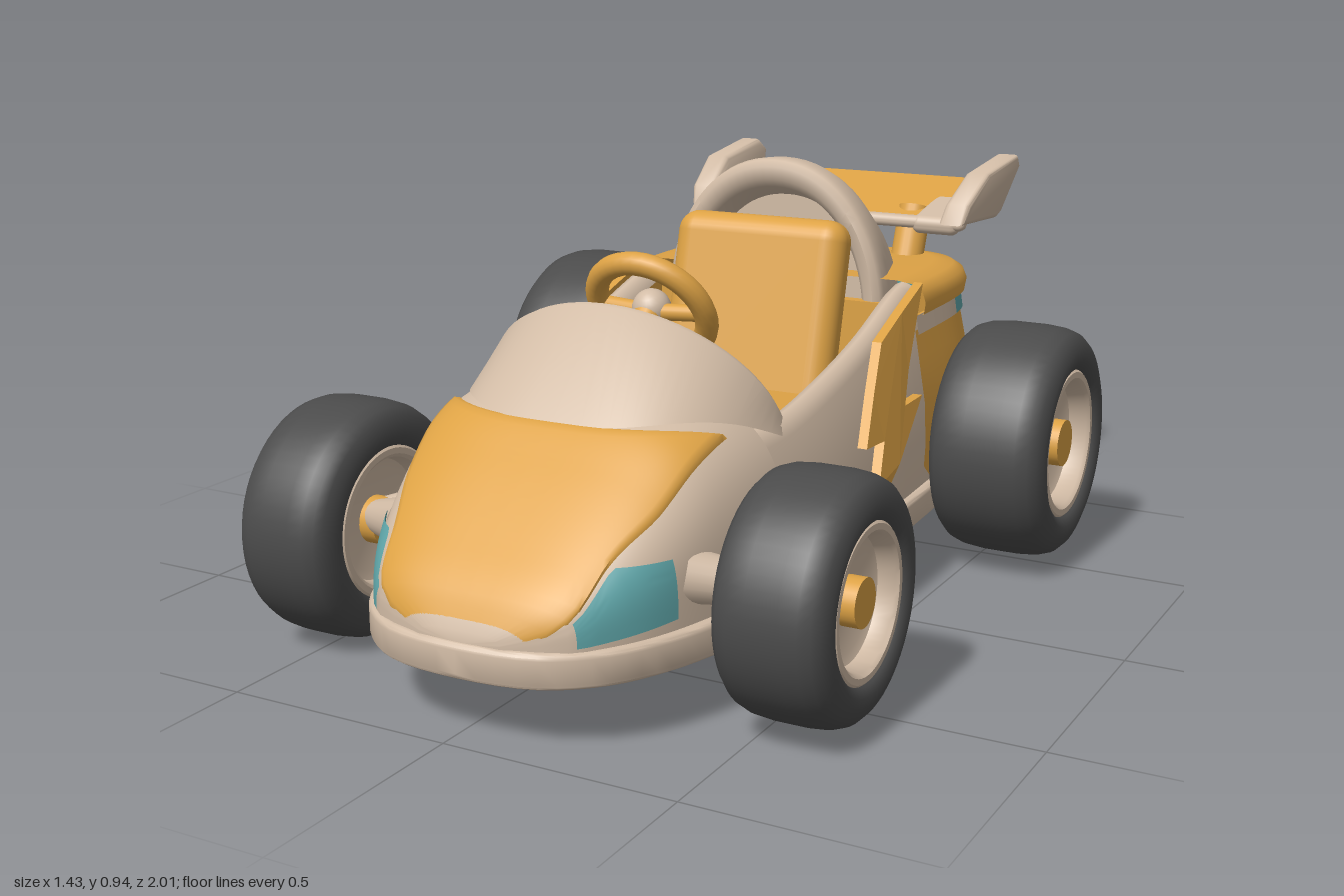
import * as THREE from 'three';
import { toCreasedNormals } from 'three/addons/utils/BufferGeometryUtils.js';
import { RoundedBoxGeometry } from 'three/addons/geometries/RoundedBoxGeometry.js';

const paint = (name, color) => new THREE.MeshStandardMaterial({ name, color, side: THREE.DoubleSide });
const yellow = paint('yellow', 0xdda245), beige = paint('beige', 0xd2bca6);
const teal = paint('teal', 0x5fa5a8), rubber = paint('rubber', 0x4b4b4b);

// Smooth interpolation in a table of [position, value] pairs
function at(t, v) {
  let i = 0;
  while (i < t.length - 2 && v > t[i + 1][0]) i++;
  const slope = k => {
    const a = t[Math.max(k - 1, 0)], b = t[Math.min(k + 1, t.length - 1)];
    return (b[1] - a[1]) / (b[0] - a[0]);
  };
  const h = t[i + 1][0] - t[i][0], s = THREE.MathUtils.clamp((v - t[i][0]) / h, 0, 1);
  const s2 = s * s, s3 = s2 * s;
  return t[i][1] * (2 * s3 - 3 * s2 + 1) + slope(i) * h * (s3 - 2 * s2 + s)
    + t[i + 1][1] * (3 * s2 - 2 * s3) + slope(i + 1) * h * (s3 - s2);
}

// Skin over rows of points
function loft(rows, crease = 0.7) {
  const n = rows[0].length, index = [];
  for (let r = 0; r < rows.length - 1; r++) for (let c = 0; c < n - 1; c++) {
    const a = r * n + c, b = a + n;
    index.push(a, b, a + 1, b, b + 1, a + 1);
  }
  const g = new THREE.BufferGeometry();
  g.setAttribute('position', new THREE.Float32BufferAttribute(rows.flat(2), 3));
  g.setIndex(index);
  return toCreasedNormals(g, crease);
}
const steps = (n, a, b, f) => Array.from({ length: n + 1 }, (_, i) => f(a + (b - a) * i / n));

function add(parent, name, geo, mat, pos = [0, 0, 0], rot = [0, 0, 0]) {
  const m = new THREE.Mesh(geo, mat);
  m.name = name;
  m.position.set(...pos);
  m.rotation.set(...rot);
  parent.add(m);
  return m;
}
function rod(parent, name, mat, a, b, ra, rb = ra) {
  const p = new THREE.Vector3(...a), d = new THREE.Vector3(...b).sub(p);
  const m = add(parent, name, new THREE.CylinderGeometry(rb, ra, d.length(), 20), mat);
  m.position.copy(p).addScaledVector(d, 0.5);
  m.quaternion.setFromUnitVectors(new THREE.Vector3(0, 1, 0), d.normalize());
}

// Body measures along z: half width, nose height, cockpit rim height, hood edge angle
const WIDTH = [[-0.4, 0.4], [-0.1, 0.41], [0.2, 0.41], [0.45, 0.395], [0.66, 0.355], [0.8, 0.31], [0.9, 0.25], [0.95, 0.195], [0.985, 0.09]];
const NOSE = [[0.3, 0.56], [0.48, 0.58], [0.62, 0.55], [0.73, 0.475], [0.87, 0.36], [0.95, 0.285], [0.985, 0.225]];
const RIM = [[-0.38, 0.665], [-0.3, 0.65], [-0.1, 0.59], [0.1, 0.545], [0.3, 0.51], [0.48, 0.5]];
const EDGE = [[0.48, 0.76], [0.73, 0.86], [0.85, 0.84], [0.93, 1.15], [0.985, 1.5]];
const pw = (v, e) => Math.sign(v) * Math.pow(Math.abs(v), e);
const nosePoint = (z, a, k = 1) => [at(WIDTH, z) * pw(Math.sin(a), 0.571) * k,
  0.2 + (at(NOSE, z) - 0.2) * Math.pow(Math.max(Math.cos(a), 0), 0.571) * k, z];
const wallX = (z, y) => at(WIDTH, z) - 0.055 * THREE.MathUtils.clamp((y - 0.32) / (at(RIM, z) - 0.32), 0, 1);

function addNose(body) {
  const half = Math.PI / 2;
  const skin = steps(26, 0.985, 0.42, z => steps(40, -half, half, a => nosePoint(z, a)));
  skin.unshift(skin[0].map(() => [0, 0.2, 0.99]));
  add(body, 'noseShell', loft(skin, 1), beige);
  add(body, 'dashboard', loft([skin.at(-1), skin.at(-1).map(() => [0, 0.25, 0.4])]), yellow);
  // Raised hood panel with its edge tucked into the shell
  add(body, 'hood', loft(steps(24, 0, 1, v => steps(28, -1, 1, u => {
    const z = 0.978 + (0.64 - 0.15 * u * u - 0.978) * v;
    const edge = v === 0 || v > 0.999 || Math.abs(u) > 0.999;
    return nosePoint(z, u * at(EDGE, z), edge ? 0.995 : 1.025);
  })), 0.9), yellow);
  // Headlights
  for (const s of [-1, 1]) add(body, 'headlight', loft(steps(12, 0.935, 0.755, z => {
    const q = Math.min(0.14 / (at(NOSE, z) - 0.2), 1);
    const top = Math.max(at(EDGE, z) + 0.03, Math.acos(Math.pow(q, 1.75)));
    return steps(10, top, 1.55, a => nosePoint(z, s * a, 1.022));
  })), teal);
  // Wrap-around windscreen with thickness
  add(body, 'windscreen', loft(steps(36, -1, 1, u => {
    const B = nosePoint(0.65 - 0.3 * u * u, u * 0.9, 1.01), c = Math.cos(u * half);
    const T = [0.335 * Math.sin(u * half), 0.5 + 0.235 * c, 0.3 + 0.16 * c];
    const inner = p => [p[0] * 0.92, p[1] - 0.02, p[2] - 0.025];
    const lip = [T[0] * 0.97, T[1] + 0.003, T[2] - 0.012];
    return [B, T, lip, inner(T), inner(B)];
  })), beige);
}

function addCockpit(body) {
  for (const s of [-1, 1]) {
    const wall = steps(24, 0.48, -0.38, z => {
      const w = at(WIDTH, z), r = at(RIM, z);
      return [[w, 0.2], [w, 0.32], [wallX(z, r - 0.03), r - 0.03], [w - 0.06, r - 0.006], [w - 0.08, r + 0.003],
        [w - 0.1, r - 0.006], [w - 0.11, r - 0.03]].map(([x, y]) => [s * x, y, z]);
    });
    add(body, 'sideWall', loft(wall, 0.9), beige);
    add(body, 'cockpitLining', loft(wall.slice(2).map(p => {
      const [x, y, z] = p.at(-1);
      return [[x, y, z], [x * 0.97, 0.22, z]];
    })), yellow);
    // Lightning bolt plate that follows the wall
    const bolt = new THREE.Shape([[-0.37, 0.67], [-0.23, 0.628], [-0.1, 0.585], [-0.02, 0.49], [0.065, 0.39], [-0.03, 0.385],
      [0.03, 0.3], [0.08, 0.215], [-0.09, 0.32], [-0.28, 0.43], [-0.17, 0.43], [-0.22, 0.5], [-0.3, 0.59]].map(p => new THREE.Vector2(...p)));
    const g = new THREE.ExtrudeGeometry(bolt, { depth: 0.022, bevelEnabled: false });
    const p = g.attributes.position;
    for (let i = 0; i < p.count; i++) {
      const z = p.getX(i), y = p.getY(i);
      p.setXYZ(i, s * (wallX(z, y) + p.getZ(i) + 0.004), y, z);
    }
    g.computeVertexNormals();
    add(body, 'lightningBolt', g, yellow);
  }
  add(body, 'floor', new THREE.BoxGeometry(0.62, 0.04, 0.8), yellow, [0, 0.21, 0.03]);
  add(body, 'rearBulkhead', new THREE.BoxGeometry(0.66, 0.4, 0.03), yellow, [0, 0.42, -0.35]);
  add(body, 'seatCushion', new RoundedBoxGeometry(0.45, 0.18, 0.3, 4, 0.05), yellow, [0, 0.34, -0.09]);
  add(body, 'seatBack', new RoundedBoxGeometry(0.43, 0.5, 0.11, 4, 0.05), yellow, [0, 0.565, -0.25], [-0.25, 0, 0]);
  add(body, 'console', new RoundedBoxGeometry(0.3, 0.16, 0.3, 4, 0.04), yellow, [0, 0.28, 0.27]);
  // Steering wheel
  const wheel = new THREE.Group();
  wheel.name = 'steeringWheel';
  wheel.position.set(0, 0.69, 0.245);
  wheel.rotation.x = 0.57;
  add(wheel, 'steeringRing', new THREE.TorusGeometry(0.126, 0.025, 14, 40), yellow);
  add(wheel, 'steeringHub', new THREE.SphereGeometry(0.042, 20, 14), beige);
  for (const a of [0, Math.PI, -Math.PI / 2])
    rod(wheel, 'spoke', yellow, [0, 0, 0.01], [0.12 * Math.cos(a), 0.12 * Math.sin(a), 0], 0.018);
  body.add(wheel);
  rod(body, 'steeringColumn', yellow, [0, 0.68, 0.26], [0, 0.5, 0.43], 0.032);
}

function addRear(body) {
  // Plan outline open to the front, between angles a and b
  const ring = (y, w, rear, zf, a = 0, b = Math.PI) =>
    steps(48, a, b, t => [w * pw(Math.cos(t), 0.45), y, zf - (rear + zf) * Math.pow(Math.max(Math.sin(t), 0), 0.45)]);
  const stack = (rows, zf, a, b) => loft(rows.map(r => ring(r[0], r[1], r[2], zf, a, b)), 0.8);
  add(body, 'rearBody', stack([[0.19, 0.4, 0.838], [0.3, 0.405, 0.847], [0.4, 0.4, 0.845], [0.5, 0.383, 0.825], [0.565, 0.372, 0.812]], -0.33), yellow);
  const band = [[0.556, 0.38, 0.82], [0.6, 0.374, 0.815]];
  add(body, 'rearStripe', stack(band, -0.33, 0.27, Math.PI - 0.27), teal);
  add(body, 'stripeFront', stack(band, -0.33, 0, 0.27), beige);
  add(body, 'stripeFront', stack(band, -0.33, Math.PI - 0.27, Math.PI), beige);
  add(body, 'rearDeck', stack([[0.596, 0.36, 0.8], [0.598, 0.38, 0.822], [0.625, 0.384, 0.826], [0.65, 0.376, 0.815],
    [0.666, 0.355, 0.795], [0.672, 0.31, 0.76], [0.672, 0, 0.4]], -0.36), yellow);
  // Headrest hump with a recessed mouth: z, half width, height
  const hump = [[-0.43, 0.005, 0.005], [-0.43, 0.215, 0.27], [-0.36, 0.228, 0.297], [-0.345, 0.24, 0.315], [-0.34, 0.262, 0.345],
    [-0.35, 0.276, 0.36], [-0.37, 0.28, 0.364], [-0.42, 0.272, 0.36], [-0.47, 0.258, 0.343], [-0.56, 0.235, 0.283],
    [-0.61, 0.218, 0.23], [-0.65, 0.2, 0.17], [-0.672, 0.188, 0.11], [-0.685, 0.18, 0.04]];
  add(body, 'headrestHump', loft(hump.map(([z, w, h]) => steps(36, 0, Math.PI, a =>
    [w * pw(Math.cos(a), 0.95), 0.572 + h * Math.pow(Math.max(Math.sin(a), 0), 0.95), z])), 0.8), beige);
}

function addWing(body) {
  const wing = new THREE.Group();
  wing.name = 'rearWing';
  add(wing, 'wingPanel', new RoundedBoxGeometry(0.68, 0.026, 0.28, 3, 0.012), yellow, [0, 0.79, -0.815], [0.25, 0, 0]);
  add(wing, 'wingLip', new RoundedBoxGeometry(0.72, 0.03, 0.04, 3, 0.014), beige, [0, 0.757, -0.678]);
  const side = new THREE.Shape([[-0.655, 0.77], [-0.67, 0.8], [-0.77, 0.86], [-0.965, 0.882], [-0.985, 0.865],
    [-0.92, 0.765], [-0.9, 0.757]].map(p => new THREE.Vector2(...p)));
  for (const s of [-1, 1]) {
    const g = new THREE.ExtrudeGeometry(side, { depth: 0.036, bevelThickness: 0.014, bevelSize: 0.014, bevelSegments: 4 });
    const p = g.attributes.position;
    for (let i = 0; i < p.count; i++) {
      const z = p.getX(i), y = p.getY(i);
      p.setXYZ(i, s * (0.318 + p.getZ(i) + (y - 0.76) * 0.2), y, z);
    }
    g.deleteAttribute('normal');
    g.deleteAttribute('uv');
    add(wing, 'endPlate', toCreasedNormals(g, 0.7), beige);
    add(wing, 'endPlateFoot', new RoundedBoxGeometry(0.12, 0.045, 0.2, 4, 0.02), beige, [s * 0.285, 0.768, -0.755], [0.2, 0, 0]);
    rod(wing, 'wingStrut', yellow, [s * 0.2, 0.63, -0.695], [s * 0.2, 0.78, -0.755], 0.04);
  }
  body.add(wing);
}

function addWheel(parent, name, x, y, z, R, hw) {
  const g = new THREE.Group();
  g.name = name;
  g.position.set(x, y, z);
  g.rotation.z = Math.PI / 2;
  // Half profiles run from the outside face to the middle and are mirrored
  const turn = half => new THREE.LatheGeometry([...half.map(([r, h]) => new THREE.Vector2(r * R, -h * hw)),
    ...half.slice().reverse().map(([r, h]) => new THREE.Vector2(r * R, h * hw))], 56);
  add(g, 'tyre', turn([[0.62, 0.8], [0.65, 0.93], [0.72, 1], [0.8, 0.99], [0.89, 0.92], [0.95, 0.8], [0.985, 0.6], [1, 0.3]]), rubber);
  const rim = turn([[0, 0.5], [0.44, 0.52], [0.51, 0.58], [0.54, 0.86], [0.57, 0.92], [0.62, 0.92], [0.655, 0.85]]);
  add(g, 'rim', toCreasedNormals(rim, 0.6), beige);
  add(g, 'hub', new THREE.CylinderGeometry(0.2 * R, 0.2 * R, 1.66 * hw, 28), yellow);
  parent.add(g);
}

export function createModel() {
  const model = new THREE.Group();
  model.name = 'goKart';
  const body = new THREE.Group();
  body.name = 'body';
  body.position.x = 0.015;
  body.rotation.y = 0.018;
  model.add(body);

  // Floor pan with a rounded outline
  const halfPan = [[0.16, 0.965], [0.26, 0.89], [0.325, 0.78], [0.37, 0.64], [0.405, 0.4], [0.415, 0.15], [0.415, -0.15],
    [0.405, -0.45], [0.39, -0.66], [0.35, -0.765], [0.26, -0.82]];
  const pan = [[0, 0.988], ...halfPan, [0, -0.832], ...halfPan.slice().reverse().map(([x, z]) => [-x, z])];
  const curve = new THREE.CatmullRomCurve3(pan.map(([x, z]) => new THREE.Vector3(x, -z, 0)), true);
  const panGeo = new THREE.ExtrudeGeometry(new THREE.Shape(curve.getPoints(96).slice(0, -1).map(p => new THREE.Vector2(p.x, p.y))),
    { depth: 0.046, bevelThickness: 0.013, bevelSize: 0.012, bevelSegments: 4 });
  panGeo.rotateX(-Math.PI / 2);
  panGeo.deleteAttribute('normal');
  panGeo.deleteAttribute('uv');
  add(body, 'floorPan', toCreasedNormals(panGeo, 0.7), beige, [0, 0.145, 0]);

  addNose(body);
  addCockpit(body);
  addRear(body);
  addWing(body);

  // Axles and suspension arms
  rod(model, 'rearAxle', yellow, [-0.56, 0.31, -0.54], [0.56, 0.295, -0.53], 0.058);
  for (const s of [-1, 1]) for (const z of [0.54, 0.68])
    rod(model, 'suspensionArm', beige, [0.02 + s * 0.32, 0.29, z], [0.02 + s * 0.47, 0.262, 0.605], 0.055, 0.035);

  addWheel(model, 'frontLeftWheel', 0.572, 0.262, 0.59, 0.245, 0.118);
  addWheel(model, 'frontRightWheel', -0.511, 0.255, 0.605, 0.255, 0.114);
  addWheel(model, 'rearLeftWheel', 0.573, 0.293, -0.522, 0.272, 0.138);
  addWheel(model, 'rearRightWheel', -0.578, 0.327, -0.549, 0.304, 0.142);
  return model;
}
